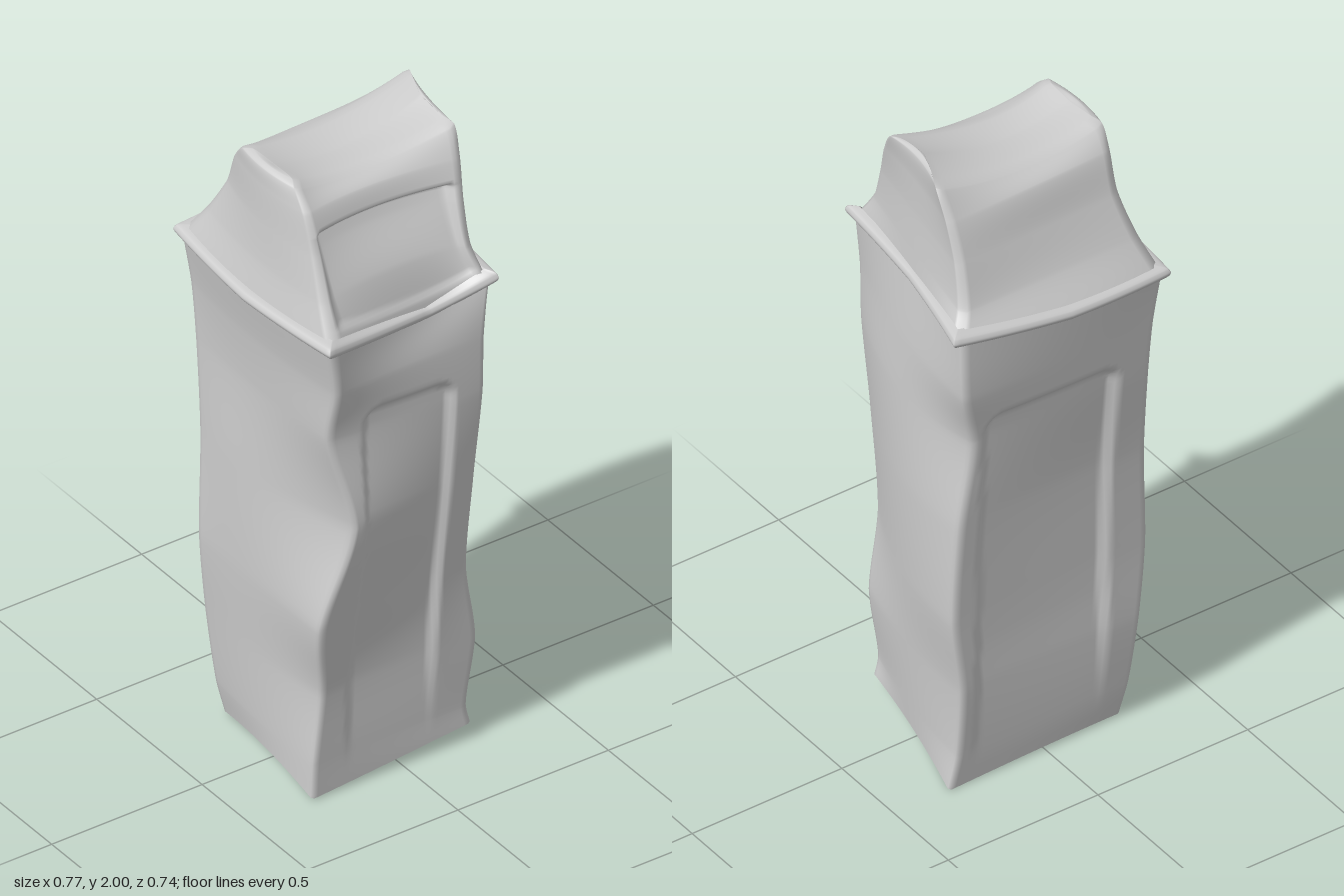
import * as THREE from 'three';
import { mergeVertices } from 'three/addons/utils/BufferGeometryUtils.js';

const SIDE_STEPS = 44;

// Height offsets for the eight outline points, in the order
// front-left edge, front, front-right edge, right, back-right edge, back, back-left edge, left
// (left = -x, right = +x here)
const FLAT = [0, 0, 0, 0, 0, 0, 0, 0];
const BASE_WAVE = [0.01, 0.04, 0.005, 0.025, 0.055, 0.035, 0, 0.01];
const RIM_WAVE = [0, -0.01, 0, -0.055, 0.02, 0.025, 0.05, 0.01];
const ROOF_WAVE = [0, 0, 0, -0.03, 0.02, 0.035, 0.03, -0.025];
const RIDGE_WAVE = [0, 0, 0, -0.03, 0.035, 0.035, 0.035, -0.03];

// Outline level: height, wave, eight x,z pairs and optional x and z scales
function level(y, wave, xz, sx = 1, sz = sx) {
  return wave.map((dy, k) => new THREE.Vector3(xz[2 * k] * sx, y + dy, xz[2 * k + 1] * sz));
}

// Lofts a four-sided crumpled skin through the levels, from bottom to top.
// bevel cuts the corners; kink turns the curve at each side's middle into a fold.
function loft(levels, rowsPerSpan, { bevel = 0.015, kink = 0, dent } = {}) {
  const columns = FLAT.map((_, k) => new THREE.CatmullRomCurve3(levels.map((l) => l[k])));
  const spans = levels.length - 1;
  const rows = spans * rowsPerSpan;
  const ring = 4 * (SIDE_STEPS + 1);
  const pos = [], index = [];
  for (let j = 0; j <= rows; j++) {
    // Mostly smooth, slightly straightened between levels
    const s = Math.min(Math.floor(j / rowsPerSpan), spans - 1);
    const c = columns.map((curve, k) => curve.getPoint(j / rows)
      .lerp(levels[s][k].clone().lerp(levels[s + 1][k], j / rowsPerSpan - s), 0.3));
    for (let side = 0; side < 4; side++) {
      const a = c[side * 2], m = c[side * 2 + 1], b = c[(side * 2 + 2) % 8];
      for (let i = 0; i <= SIDE_STEPS; i++) {
        const t = bevel + (1 - 2 * bevel) * i / SIDE_STEPS;
        const p = new THREE.Vector3()
          .addScaledVector(a, (1 - t) * (1 - 2 * t))
          .addScaledVector(m, 4 * t * (1 - t))
          .addScaledVector(b, t * (2 * t - 1));
        const straight = t < 0.5 ? a.clone().lerp(m, 2 * t) : m.clone().lerp(b, 2 * t - 1);
        p.lerp(straight, kink);
        if (dent) dent(p, side, t);
        pos.push(p.x, p.y, p.z);
      }
    }
  }
  for (let j = 0; j < rows; j++) {
    for (let i = 0; i < ring; i++) {
      const n = (i + 1) % ring;
      const a = j * ring + i, b = j * ring + n;
      index.push(a, b, b + ring, a, b + ring, a + ring);
    }
  }
  let g = new THREE.BufferGeometry();
  g.setAttribute('position', new THREE.Float32BufferAttribute(pos, 3));
  g.setIndex(index);
  g = mergeVertices(g, 1e-5);
  g.computeVertexNormals();
  return g;
}

// 0 outside a rounded rectangle, rising to 1 inside its edge
function recess(u, v, u0, u1, v0, v1, r, soft) {
  const dx = Math.abs(u - (u0 + u1) / 2) - (u1 - u0) / 2 + r;
  const dy = Math.abs(v - (v0 + v1) / 2) - (v1 - v0) / 2 + r;
  const d = Math.hypot(Math.max(dx, 0), Math.max(dy, 0)) + Math.min(Math.max(dx, dy), 0) - r;
  return THREE.MathUtils.smoothstep(-d, 0, soft);
}

export function createModel() {
  const group = new THREE.Group();
  const material = new THREE.MeshStandardMaterial({ color: 0xcccccc, side: THREE.DoubleSide });
  const add = (name, geometry) => {
    const mesh = new THREE.Mesh(geometry, material);
    mesh.name = name;
    group.add(mesh);
  };

  // Body: bent, slightly widening walls with a shallow panel on each flank
  const foot = [-0.247, 0.255, 0, 0.29, 0.237, 0.3, 0.235, 0.04, 0.24, -0.225, 0, -0.265, -0.25, -0.32, -0.25, -0.02];
  const bodyLevels = [
    level(0.005, BASE_WAVE, foot),
    level(0.12, FLAT, [-0.262, 0.275, 0, 0.295, 0.238, 0.295, 0.235, 0.04, 0.238, -0.212, 0, -0.27, -0.26, -0.3, -0.26, 0]),
    level(0.35, FLAT, [-0.285, 0.295, 0, 0.3, 0.247, 0.275, 0.247, 0.03, 0.255, -0.232, 0, -0.285, -0.28, -0.3, -0.28, 0]),
    level(0.6, FLAT, [-0.287, 0.315, 0, 0.315, 0.293, 0.312, 0.282, 0.03, 0.268, -0.19, 0, -0.3, -0.287, -0.332, -0.285, 0]),
    level(0.93, FLAT, [-0.3, 0.3, 0, 0.305, 0.338, 0.23, 0.33, 0.02, 0.312, -0.185, 0, -0.31, -0.3, -0.32, -0.297, 0]),
    level(1.22, FLAT, [-0.33, 0.295, 0, 0.305, 0.303, 0.292, 0.335, 0.03, 0.342, -0.195, 0, -0.305, -0.312, -0.285, -0.328, 0]),
    level(1.4, FLAT, [-0.345, 0.3, 0, 0.32, 0.345, 0.295, 0.337, 0.03, 0.342, -0.2, 0, -0.295, -0.335, -0.33, -0.347, 0]),
    level(1.565, RIM_WAVE, [-0.355, 0.322, 0, 0.348, 0.36, 0.322, 0.31, -0.02, 0.34, -0.22, 0, -0.275, -0.335, -0.338, -0.363, 0]),
  ];
  add('body', loft(bodyLevels, 14, {
    dent: (p, side) => {
      if (side % 2 === 0) return;
      const fade = THREE.MathUtils.smoothstep(p.y, 0.05, 0.5);
      const back = side === 1 ? -0.105 : -0.25;
      const inset = recess(p.z, p.y, back, 0.19, -0.2, 1.305, 0.06, 0.022);
      p.x -= Math.sign(p.x) * 0.022 * fade * inset;
    },
  }));

  // Underside, arched a little upwards
  add('base', loft([level(0.045, FLAT, foot, 0), level(0.005, BASE_WAVE, foot)], 8));

  // Rim: wavy lip around the top of the body
  const lip = [-0.372, 0.337, 0, 0.367, 0.382, 0.342, 0.305, -0.04, 0.358, -0.237, 0, -0.278, -0.347, -0.372, -0.385, 0];
  add('rim', loft([
    level(1.554, RIM_WAVE, lip, 0.9),
    level(1.556, RIM_WAVE, lip, 0.98),
    level(1.57, RIM_WAVE, lip),
    level(1.584, RIM_WAVE, lip, 0.98),
    level(1.59, RIM_WAVE, lip, 0.9),
  ], 4, { bevel: 0.004, kink: 0.5 }));

  // Hood: flares up from the rim to a sagging roof, with a recessed flap on one side
  const roof = [-0.13, 0.28, 0, 0.293, 0.13, 0.275, 0.12, 0.05, 0.15, -0.24, 0, -0.245, -0.14, -0.283, -0.14, 0];
  const ridge = [0, 0.26, 0, 0.26, 0, 0.26, 0, 0.02, 0, -0.225, 0, -0.225, 0, -0.225, 0, 0.02];
  const hoodLevels = [
    level(1.578, RIM_WAVE, [-0.352, 0.317, 0, 0.343, 0.357, 0.317, 0.292, -0.03, 0.332, -0.212, 0, -0.262, -0.325, -0.345, -0.364, 0]),
    level(1.67, FLAT, [-0.292, 0.285, 0, 0.32, 0.295, 0.3, 0.266, 0.03, 0.285, -0.2, 0, -0.255, -0.295, -0.31, -0.295, 0]),
    level(1.79, FLAT, [-0.228, 0.262, 0, 0.306, 0.235, 0.285, 0.203, 0.04, 0.245, -0.205, 0, -0.245, -0.245, -0.288, -0.235, 0]),
    level(1.9, FLAT, [-0.18, 0.27, 0, 0.299, 0.182, 0.28, 0.163, 0.05, 0.2, -0.225, 0, -0.243, -0.195, -0.285, -0.19, 0]),
    level(1.955, ROOF_WAVE, roof),
    level(1.965, ROOF_WAVE, roof, 0.75, 0.95),
    level(1.962, RIDGE_WAVE, ridge),
  ];
  add('hood', loft(hoodLevels, 16, {
    bevel: 0.03,
    dent: (p, side, t) => {
      if (side !== 1) return;
      const sill = 1.605 - 0.2 * t * (1 - t);
      const inset = recess(t * 0.5, p.y, 0.02, 0.478, sill, 1.845, 0.015, 0.018);
      p.x -= inset * THREE.MathUtils.mapLinear(p.y, 1.6, 1.84, 0.012, 0.035);
    },
  }));

  return group;
}
